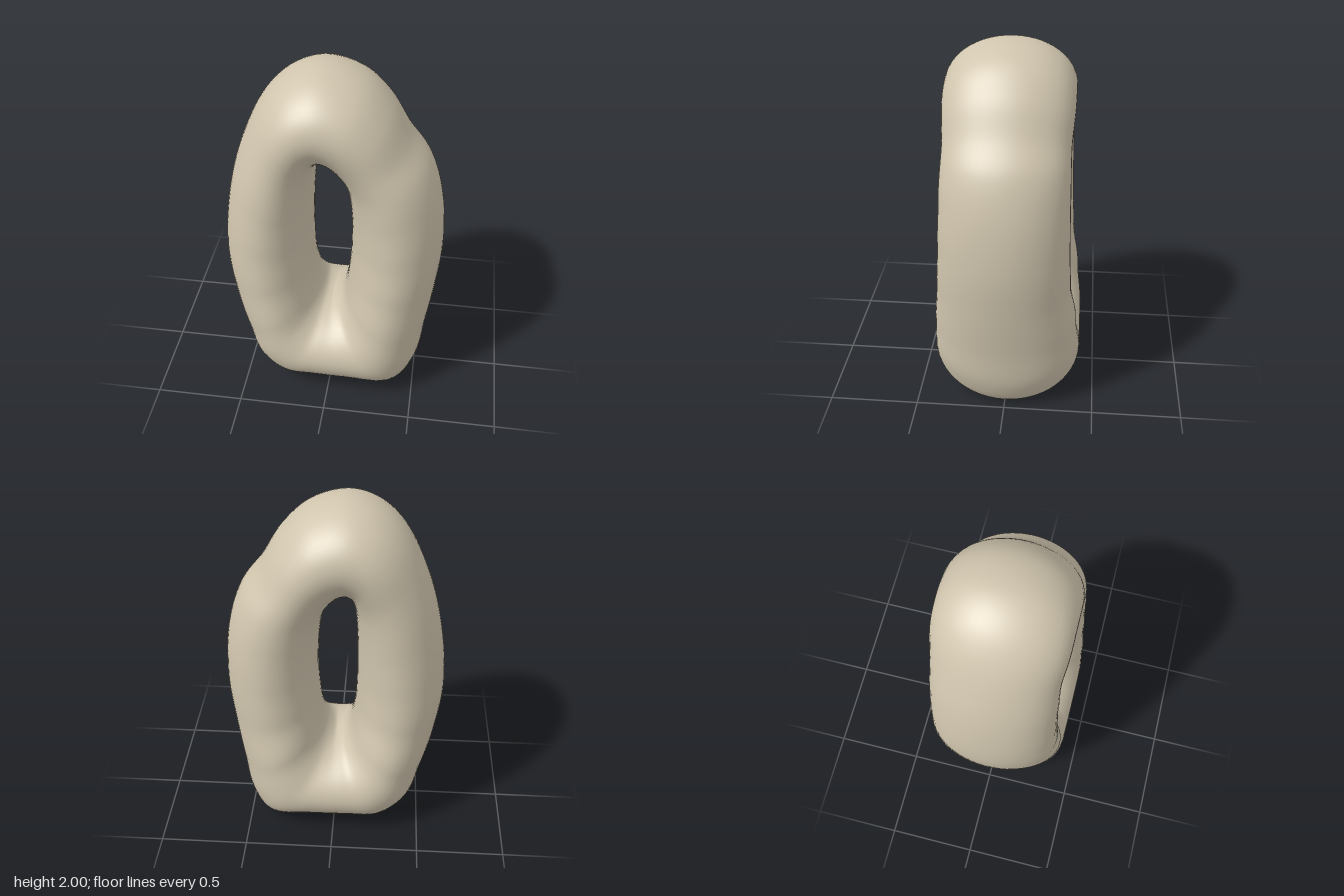
import * as THREE from 'three';

// Matching outlines, counter-clockwise from the top: [outer x, outer y, hole x, hole y]
const OUTLINE = [
  [-0.06, 2.0, -0.055, 1.485], [-0.23, 1.95, -0.08, 1.47], [-0.37, 1.82, -0.1, 1.4],
  [-0.5, 1.55, -0.115, 1.25], [-0.58, 1.25, -0.12, 1.1], [-0.615, 0.9, -0.12, 0.9],
  [-0.58, 0.6, -0.11, 0.72], [-0.52, 0.35, -0.09, 0.61], [-0.46, 0.15, -0.07, 0.56],
  [-0.31, 0.017, -0.045, 0.53], [-0.1, 0.006, -0.02, 0.52], [0.15, 0.002, 0, 0.52],
  [0.43, 0.004, 0.03, 0.545], [0.515, 0.14, 0.055, 0.58], [0.555, 0.4, 0.075, 0.65],
  [0.59, 0.65, 0.09, 0.78], [0.615, 0.95, 0.1, 0.95], [0.59, 1.25, 0.095, 1.15],
  [0.52, 1.47, 0.075, 1.3], [0.41, 1.62, 0.045, 1.39], [0.3, 1.8, 0, 1.45],
  [0.15, 1.94, -0.03, 1.475],
];

// Half depth by height: [y, front, back]
const DEPTH = [[0.25, 0.415, 0.415], [0.5, 0.4, 0.39], [0.75, 0.38, 0.355],
  [1.0, 0.365, 0.345], [1.25, 0.355, 0.34], [1.5, 0.345, 0.335], [1.72, 0.36, 0.35]];

function createModel() {
  const group = new THREE.Group();
  const stone = new THREE.MeshStandardMaterial({ color: 0xd0c5ae });
  stone.name = 'warm beige';

  const curve = (pts) => new THREE.CatmullRomCurve3(pts, true, 'centripetal');
  const outer = curve(OUTLINE.map((p) => new THREE.Vector3(p[0], p[1], 0)));
  const inner = curve(OUTLINE.map((p) => new THREE.Vector3(p[2], p[3], 0)));
  const front = curve2(1), back = curve2(2);

  // Loft elliptical sections around the hole
  const around = 176, sides = 56;
  const positions = [], index = [];
  for (let i = 0; i < around; i++) {
    const o = outer.getPoint(i / around), n = inner.getPoint(i / around);
    const mid = o.clone().add(n).multiplyScalar(0.5);
    const half = o.clone().sub(n).multiplyScalar(0.5);
    const f = front(mid.y), b = back(mid.y);
    for (let j = 0; j < sides; j++) {
      const a = (j / sides) * Math.PI * 2, c = Math.cos(a), s = Math.sin(a);
      positions.push(mid.x + half.x * c, Math.max(0, mid.y + half.y * c), s * (s > 0 ? f : b));
      const i2 = (i + 1) % around, j2 = (j + 1) % sides;
      const p = i * sides + j, q = i2 * sides + j, r = i2 * sides + j2, t = i * sides + j2;
      index.push(p, q, r, p, r, t);
    }
  }
  const geometry = new THREE.BufferGeometry();
  geometry.setAttribute('position', new THREE.Float32BufferAttribute(positions, 3));
  geometry.setIndex(index);
  geometry.computeVertexNormals();

  const ring = new THREE.Mesh(geometry, stone);
  ring.name = 'piercedRing';
  group.add(ring);
  return group;
}

// Smooth lookup of one depth column by height
function curve2(column) {
  return (y) => {
    const last = DEPTH.length - 1;
    if (y <= DEPTH[0][0]) return DEPTH[0][column];
    if (y >= DEPTH[last][0]) return DEPTH[last][column];
    const k = DEPTH.findIndex((d) => d[0] > y) - 1;
    const t = (y - DEPTH[k][0]) / (DEPTH[k + 1][0] - DEPTH[k][0]);
    return THREE.MathUtils.lerp(DEPTH[k][column], DEPTH[k + 1][column], THREE.MathUtils.smoothstep(t, 0, 1));
  };
}

export { createModel };
